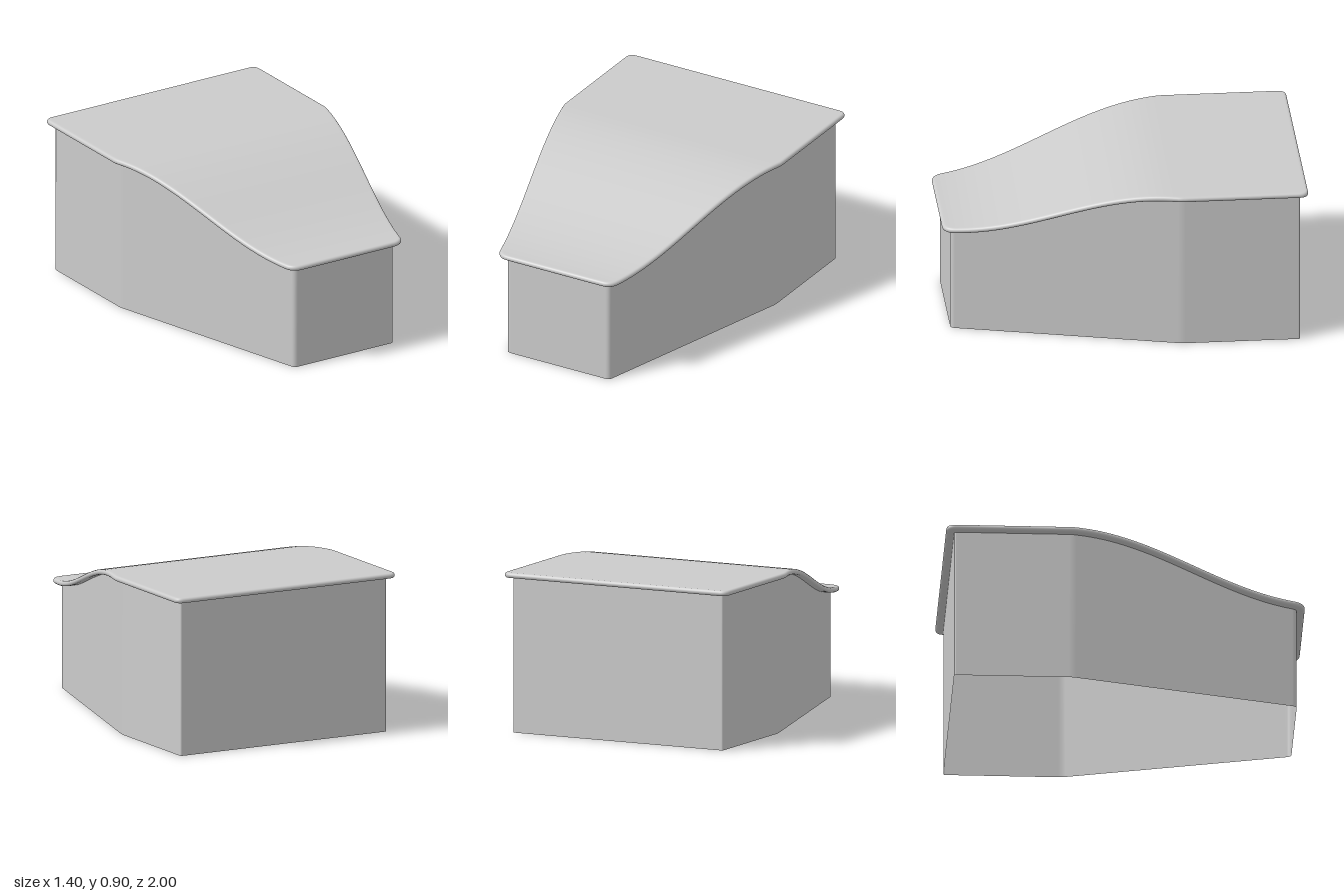
import * as THREE from 'three';

// Height of the lid's upper face: level at the back, easing down to the front.
function topHeight(z) {
  const t = THREE.MathUtils.clamp((z + 0.25) / 1.25, 0, 1);
  return 0.9 - 0.14 * (1 - Math.cos(Math.PI * t));
}

// Half outline on the +x side from centre back to centre front, corners rounded.
function halfOutline(corners, cuts) {
  const first = corners[0], last = corners[corners.length - 1];
  const pts = [new THREE.Vector2(0, first.y)];
  const stops = [pts[0], ...corners, new THREE.Vector2(0, last.y)];
  const line = (to, steps) => {
    const from = pts[pts.length - 1].clone();
    for (let k = 1; k <= steps; k++) pts.push(from.clone().lerp(to, k / steps));
  };
  corners.forEach((c, i) => {
    const toward = (p) => c.clone().add(p.clone().sub(c).setLength(cuts[i]));
    const a = toward(stops[i]), b = toward(stops[i + 2]);
    line(a, i === 0 ? 4 : 32);
    const arc = new THREE.QuadraticBezierCurve(a, c, b).getPoints(10);
    pts.push(...arc.slice(1));
  });
  line(stops[stops.length - 1], 4);
  return pts;
}

// Closed symmetrical loop, moved inwards by inset, with heights from yAt(z).
function ring(half, inset, yAt) {
  const right = half.map((p, i) => {
    const a = half[Math.max(i - 1, 0)], b = half[Math.min(i + 1, half.length - 1)];
    const t = b.clone().sub(a).normalize();
    const x = i === 0 || i === half.length - 1 ? 0 : p.x - t.y * inset;
    const z = p.y + t.x * inset;
    return new THREE.Vector3(x, yAt(z), z);
  });
  const left = right.slice(1, -1).reverse().map((p) => new THREE.Vector3(-p.x, p.y, p.z));
  return [...right, ...left];
}

// Skin between rings listed from bottom to top, optionally capped by cross strips.
function loft(rings, capped) {
  const n = rings[0].length, index = [];
  for (let j = 0; j < rings.length - 1; j++) {
    for (let i = 0; i < n; i++) {
      const a = j * n + i, b = j * n + (i + 1) % n;
      index.push(a, a + n, b, b, a + n, b + n);
    }
  }
  if (capped) {
    const top = (rings.length - 1) * n;
    for (let i = 0; i < n / 2; i++) {
      const a = i, b = i + 1, c = n - i - 1, d = (n - i) % n;
      index.push(a, b, d, b, c, d);
      index.push(top + a, top + d, top + b, top + b, top + d, top + c);
    }
  }
  const geometry = new THREE.BufferGeometry().setFromPoints(rings.flat());
  geometry.setIndex(index);
  geometry.computeVertexNormals();
  return geometry;
}

export function createModel() {
  const group = new THREE.Group();
  group.name = 'hoodedBox';
  const v = (x, z) => new THREE.Vector2(x, z);

  // Lid: a curved sheet with a half-round edge
  const lidHalf = halfOutline([v(0.7, -1), v(0.7, -0.29), v(0.366, 1)], [0.05, 0.02, 0.065]);
  const r = 0.015;
  const rings = [ring(lidHalf, 0.025, (z) => topHeight(z) - 2 * r)];
  for (let k = 0; k <= 8; k++) {
    const a = -Math.PI / 2 + (Math.PI * k) / 8;
    rings.push(ring(lidHalf, r * (1 - Math.cos(a)), (z) => topHeight(z) - r + r * Math.sin(a)));
  }
  rings.push(ring(lidHalf, 0.025, topHeight));
  const lid = new THREE.Mesh(loft(rings, true), new THREE.MeshStandardMaterial({ color: 0xcccccc }));
  lid.name = 'lid';
  group.add(lid);

  // Walls: a thin shell, open at the bottom, reaching the underside of the lid
  const wallHalf = halfOutline([v(0.655, -0.955), v(0.655, -0.3), v(0.328, 0.955)], [0.01, 0.02, 0.025]);
  const walls = new THREE.Mesh(
    loft([ring(wallHalf, 0, () => 0), ring(wallHalf, 0, (z) => topHeight(z) - 2 * r)], false),
    new THREE.MeshStandardMaterial({ color: 0xcccccc, side: THREE.DoubleSide })
  );
  walls.name = 'walls';
  group.add(walls);

  return group;
}
